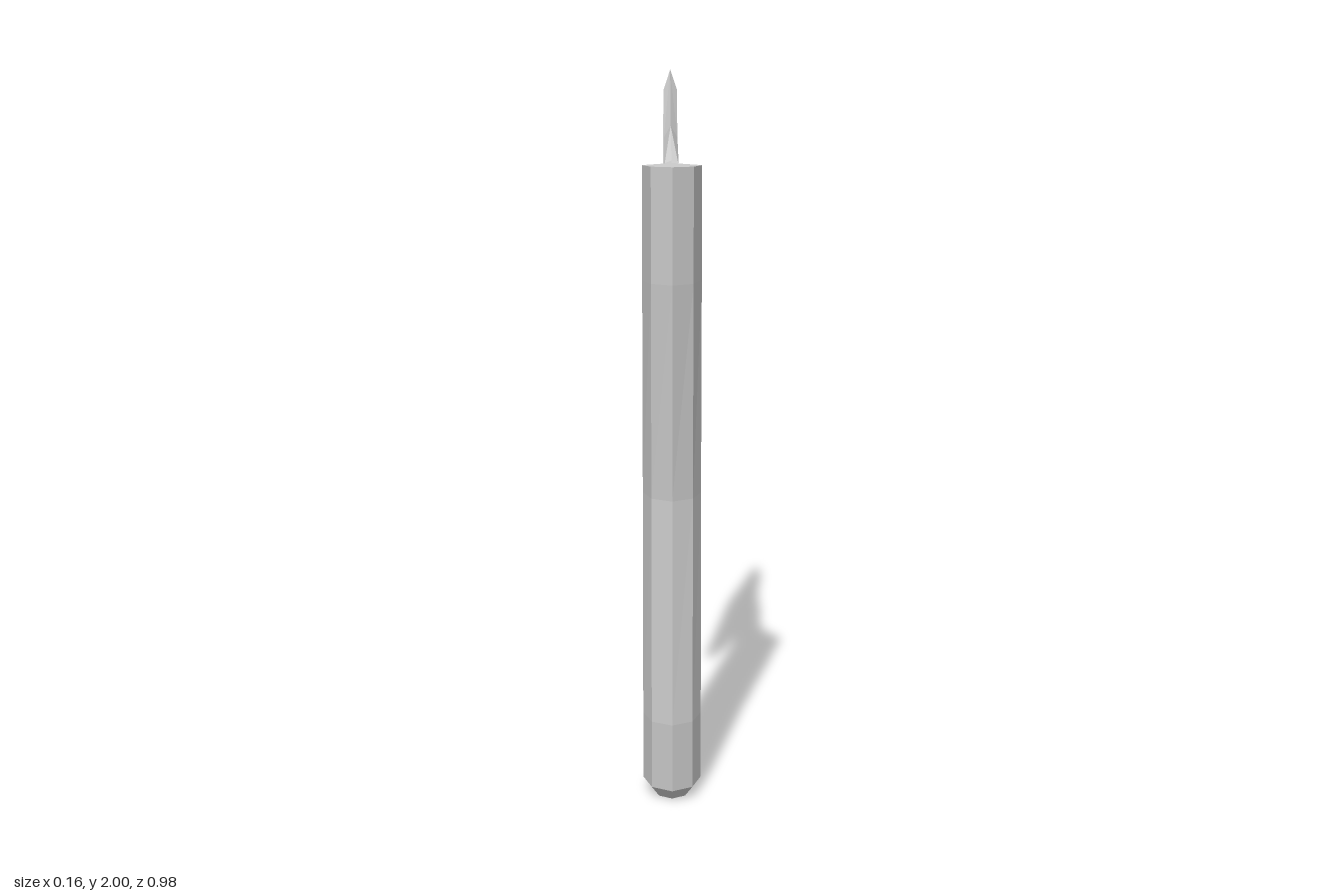
import * as THREE from 'three';

const material = new THREE.MeshStandardMaterial({ color: 0xcccccc, flatShading: true });

// Mesh from a flat list of corner points, three per triangle
function facetMesh(name, corners) {
  const geometry = new THREE.BufferGeometry().setFromPoints(corners);
  geometry.computeVertexNormals();
  const mesh = new THREE.Mesh(geometry, material);
  mesh.name = name;
  return mesh;
}

// Eight-sided ring, starting at the front and running towards +x
function ring([y, z, halfDepth, halfWidth]) {
  const across = [0, 0.7, 1, 0.7, 0, -0.7, -1, -0.7];
  const along = [1, 0.7, 0, -0.7, -1, -0.7, 0, 0.7];
  return across.map((a, i) => new THREE.Vector3(a * halfWidth, y, z + along[i] * halfDepth));
}

function createHandle() {
  // y, centre z, half depth, half width
  const rings = [
    [0, 0.345, 0.075, 0.052],
    [0.035, 0.345, 0.11, 0.08],
    [0.23, 0.36, 0.11, 0.08],
    [0.85, 0.325, 0.12, 0.08],
    [1.435, 0.34, 0.15, 0.08],
    [1.74, 0.34, 0.15, 0.08],
  ].map(ring);
  // the back of the top ring narrows to the thickness of the blade
  const top = rings[rings.length - 1];
  top[3].set(0.02, 1.74, 0.225);
  top[4].set(0, 1.74, 0.18);
  top[5].set(-0.02, 1.74, 0.225);

  const corners = [];
  for (let r = 0; r < rings.length - 1; r++) {
    for (let k = 0; k < 8; k++) {
      const n = (k + 1) % 8;
      const [a, b, c, d] = [rings[r][k], rings[r][n], rings[r + 1][n], rings[r + 1][k]];
      corners.push(a, b, c, a, c, d);
    }
  }
  // end caps
  for (let k = 1; k < 7; k++) {
    corners.push(top[0], top[k], top[k + 1]);
    corners.push(rings[0][0], rings[0][k + 1], rings[0][k]);
  }
  return facetMesh('handle', corners);
}

function createBlade() {
  // z, y of the flat cheek, z, y of the sharp edge around it, half thickness
  const outline = [
    [0.225, 1.74, 0.18, 1.74, 0.02],
    [0.17, 1.73, 0.135, 1.745, 0.02],
    [-0.21, 1.8, -0.205, 1.835, 0.02],
    [-0.405, 1.94, -0.442, 2.0, 0.02],
    [-0.445, 1.375, -0.488, 1.365, 0.02],
    [-0.245, 0.805, -0.245, 0.74, 0.02],
    [-0.165, 1.015, -0.133, 1.015, 0.02],
    [-0.148, 1.24, -0.133, 1.21, 0.02],
    [0.17, 1.435, 0.145, 1.42, 0.02],
    [0.235, 1.435, 0.19, 1.435, 0.055],
  ];
  const cheek = outline.slice(1, 9).map(([z, y]) => new THREE.Vector2(z, y));
  const cheekFaces = THREE.ShapeUtils.triangulateShape(cheek, []);

  const corners = [];
  for (const side of [-1, 1]) {
    const inner = outline.map(([z, y, , , t]) => new THREE.Vector3(side * t, y, z));
    const outer = outline.map(([, , z, y]) => new THREE.Vector3(0, y, z));
    const tri = (a, b, c) => (side < 0 ? corners.push(a, b, c) : corners.push(a, c, b));
    const quad = (a, b, c, d) => { tri(a, b, c); tri(a, c, d); };
    // flat cheek and the neck joining it to the handle
    for (const [a, b, c] of cheekFaces) tri(inner[a + 1], inner[b + 1], inner[c + 1]);
    quad(inner[0], inner[1], inner[8], inner[9]);
    // bevel down to the sharp edge
    for (let i = 0; i < 9; i++) quad(inner[i], outer[i], outer[i + 1], inner[i + 1]);
  }
  return facetMesh('blade', corners);
}

export function createModel() {
  const axe = new THREE.Group();
  axe.name = 'axe';
  axe.add(createHandle(), createBlade());
  return axe;
}
